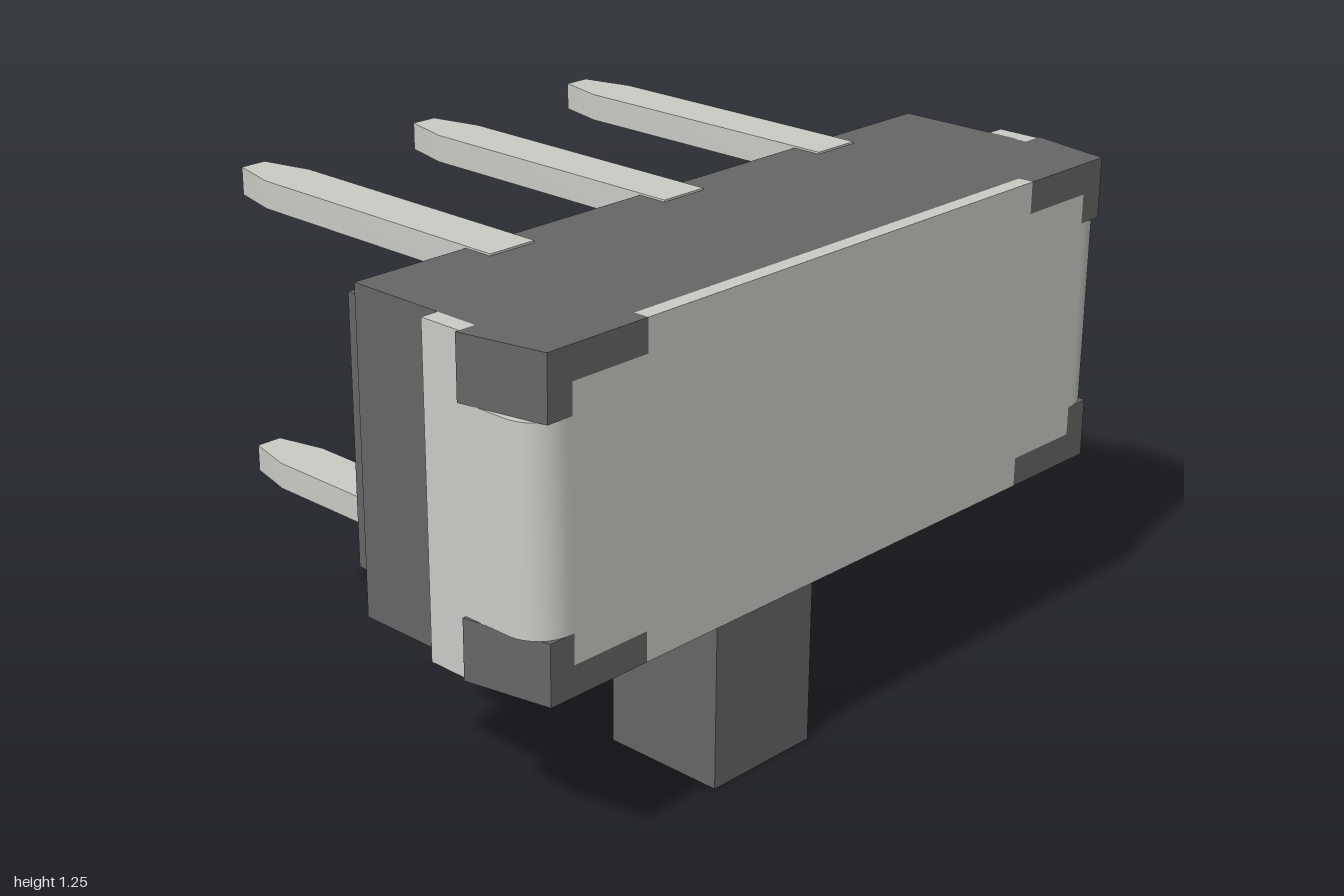
import * as THREE from 'three';
import { toCreasedNormals } from 'three/addons/utils/BufferGeometryUtils.js';

const plastic = new THREE.MeshStandardMaterial({ color: 0x666666 });
const metal = new THREE.MeshStandardMaterial({ color: 0xcbcbc6 });

const BOTTOM = 0.45, TOP = 1.245, MID = (BOTTOM + TOP) / 2;

export function createModel() {
  const model = new THREE.Group();

  const add = (name, geometry, material) => {
    const mesh = new THREE.Mesh(geometry, material);
    mesh.name = name;
    model.add(mesh);
    return mesh;
  };

  // Box given by its limits on each axis
  const box = (name, material, [x0, x1], [y0, y1], [z0, z1]) => {
    const g = new THREE.BoxGeometry(x1 - x0, y1 - y0, z1 - z0);
    g.translate((x0 + x1) / 2, (y0 + y1) / 2, (z0 + z1) / 2);
    return add(name, g, material);
  };

  // Upright prism from a plan outline of [x, z] points
  const prism = (name, material, outline, y0, y1) => {
    const shape = new THREE.Shape(outline.map(([x, z]) => new THREE.Vector2(x, -z)));
    const g = new THREE.ExtrudeGeometry(shape, { depth: y1 - y0, bevelEnabled: false });
    g.rotateX(-Math.PI / 2).translate(0, y0, 0);
    return add(name, toCreasedNormals(g, 0.5), material);
  };

  // Housing: solid above, with a slot for the slider opening below
  const slotTop = 0.75;
  box('housing', plastic, [-0.945, 0.945], [slotTop, TOP], [0.12, 0.68]);
  prism('slottedHousing', plastic, [
    [-0.945, 0.12], [0.945, 0.12], [0.945, 0.68], [0.39, 0.68],
    [0.39, 0.5], [-0.39, 0.5], [-0.39, 0.68], [-0.945, 0.68],
  ], BOTTOM, slotTop);
  box('backPlate', plastic, [-0.875, 0.875], [0.515, 1.18], [0.012, 0.13]);

  // Stand-off nubs on the back
  for (const x of [-0.747, 0.743])
    for (const y of [0.625, 1.067])
      box('standoffNub', plastic, [x - 0.033, x + 0.033], [y - 0.065, y + 0.065], [-0.057, 0.02]);

  // Wedge-shaped corner clips with a short arm along the front
  for (const s of [-1, 1]) {
    for (const [tall0, tall1, arm0, arm1] of [[BOTTOM, 0.6, BOTTOM, 0.525], [1.09, TOP, 1.165, TOP]]) {
      prism('cornerClip', plastic,
        [[0.885, 0.5], [1, 0.5], [0.955, 0.72], [0.885, 0.72]].map(([x, z]) => [s * x, z]), tall0, tall1);
      box('cornerArm', plastic, s > 0 ? [0.665, 0.885] : [-0.885, -0.665], [arm0, arm1], [0.67, 0.72]);
    }
  }

  // Metal cover: cross-shaped front plate
  const plate = new THREE.Shape([
    [0.665, BOTTOM], [0.665, 0.525], [0.885, 0.525], [0.885, 1.165], [0.665, 1.165], [0.665, TOP],
    [-0.665, TOP], [-0.665, 1.165], [-0.885, 1.165], [-0.885, 0.525], [-0.665, 0.525], [-0.665, BOTTOM],
  ].map(([x, y]) => new THREE.Vector2(x, y)));
  const plateGeometry = new THREE.ExtrudeGeometry(plate, { depth: 0.04, bevelEnabled: false });
  plateGeometry.translate(0, 0, 0.68);
  add('coverFront', plateGeometry, metal);

  // Metal cover: rounded bends and full-height side flanges
  const bend = [[0.885, 0.68], [0.885, 0.72]];
  for (let i = 0; i <= 10; i++) {
    const a = (i / 10) * Math.PI / 2;
    bend.push([0.9 + 0.09 * Math.sin(a), 0.63 + 0.09 * Math.cos(a)]);
  }
  bend.push([0.99, 0.5], [0.94, 0.5], [0.94, 0.62]);
  for (const s of [-1, 1]) {
    prism('coverBend', metal, bend.map(([x, z]) => [s * x, z]), 0.6, 1.09);
    box('coverFlange', metal, s > 0 ? [0.94, 0.99] : [-0.99, -0.94], [BOTTOM, TOP], [0.385, 0.5]);
  }

  // Two rows of terminal pins with tapered tips
  for (const x of [-0.557, -0.002, 0.555]) {
    const outline = [
      [-0.067, 0.2], [0.067, 0.2], [0.067, -0.59], [0.035, -0.722], [-0.035, -0.722], [-0.067, -0.59],
    ].map(([px, z]) => [x + px, z]);
    prism('upperPin', metal, outline, 1.18, 1.25);
    prism('lowerPin', metal, outline, 0.446, 0.515);
  }

  // Slider lever, chamfered at the back where it enters the slot
  const lever = new THREE.Shape([
    [0.675, 0], [0.345, 0], [0.345, 0.225], [0.505, BOTTOM], [0.505, 0.72], [0.675, 0.72],
  ].map(([z, y]) => new THREE.Vector2(-z, y)));
  const leverGeometry = new THREE.ExtrudeGeometry(lever, { depth: 0.33, bevelEnabled: false });
  leverGeometry.rotateY(Math.PI / 2).translate(-0.39, 0, 0);
  add('sliderLever', leverGeometry, plastic);

  return model;
}
